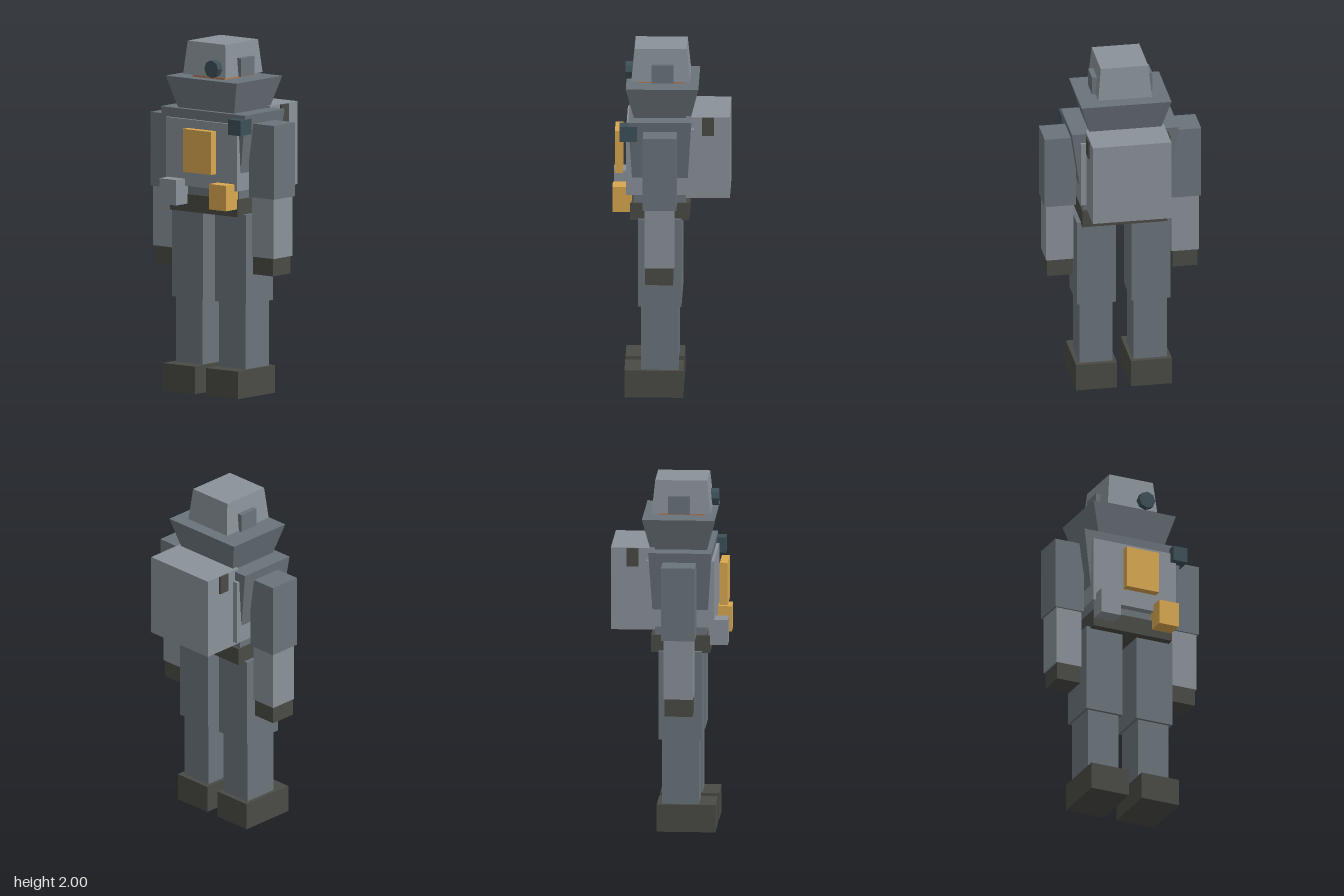
import * as THREE from 'three';

const COLORS = {
  light: 0x8a9299, mid: 0x6b747b, dark: 0x4a4a45,
  gold: 0xd9a850, teal: 0x3d5058, skin: 0xb07a55,
};
const mats = {};
for (const [key, color] of Object.entries(COLORS)) {
  mats[key] = new THREE.MeshStandardMaterial({ color, flatShading: true });
}

export function createModel() {
  const model = new THREE.Group();
  model.name = 'armouredFigure';

  function add(name, geometry, color) {
    const mesh = new THREE.Mesh(geometry, mats[color]);
    mesh.name = name;
    model.add(mesh);
    return mesh;
  }

  // Box given by its extents on each axis
  function box(name, color, [x0, x1], [y0, y1], [z0, z1]) {
    const mesh = add(name, new THREE.BoxGeometry(x1 - x0, y1 - y0, z1 - z0), color);
    mesh.position.set((x0 + x1) / 2, (y0 + y1) / 2, (z0 + z1) / 2);
    return mesh;
  }

  // The same box on both sides of the body
  function pair(name, color, [x0, x1], y, z) {
    box(name + 'Left', color, [x0, x1], y, z);
    box(name + 'Right', color, [-x1, -x0], y, z);
  }

  // Box whose bottom and top have their own half width and half depth
  function taper(name, color, [y0, y1], zMid, bottom, top) {
    const geo = new THREE.BoxGeometry(2, y1 - y0, 2);
    const p = geo.attributes.position;
    for (let i = 0; i < p.count; i++) {
      const [hx, hz] = p.getY(i) > 0 ? top : bottom;
      p.setX(i, p.getX(i) * hx);
      p.setZ(i, p.getZ(i) * hz);
    }
    geo.computeVertexNormals();
    add(name, geo, color).position.set(0, (y0 + y1) / 2, zMid);
  }

  // Legs
  pair('boot', 'dark', [0.04, 0.274], [0, 0.157], [-0.07, 0.262]);
  pair('shin', 'mid', [0.06, 0.251], [0.157, 0.53], [-0.042, 0.168]);
  pair('thigh', 'mid', [0.044, 0.268], [0.53, 1.04], [-0.06, 0.185]);

  // Waist and belt
  box('belt', 'dark', [-0.244, 0.244], [1.03, 1.13], [-0.104, 0.23]);
  box('waist', 'mid', [-0.235, 0.235], [1.13, 1.27], [-0.083, 0.208]);
  box('pouchRight', 'light', [-0.242, -0.12], [1.075, 1.22], [0.222, 0.33]);
  box('pouchLeft', 'gold', [0.118, 0.24], [1.075, 1.22], [0.222, 0.33]);

  // Torso
  taper('chest', 'mid', [1.26, 1.615], 0.062, [0.254, 0.156], [0.306, 0.178]);
  box('chestArmour', 'light', [-0.257, 0.257], [1.18, 1.56], [-0.13, 0.253]);
  box('chestPanel', 'gold', [-0.08, 0.122], [1.27, 1.515], [0.274, 0.319]);
  box('shoulderUnit', 'teal', [0.224, 0.312], [1.505, 1.593], [0.19, 0.29]);

  // Backpack with a dark fitting on each side
  box('backpack', 'light', [-0.225, 0.225], [1.155, 1.627], [-0.332, -0.085]);
  pair('packFitting', 'dark', [0.2, 0.235], [1.52, 1.625], [-0.242, -0.175]);

  // Arms
  pair('upperArm', 'mid', [0.268, 0.448], [1.14, 1.56], [-0.035, 0.155]);
  pair('forearm', 'light', [0.28, 0.437], [0.8, 1.14], [-0.022, 0.145]);
  pair('hand', 'dark', [0.286, 0.43], [0.7, 0.8], [-0.015, 0.142]);

  // Collar, neck and head
  taper('collar', 'mid', [1.615, 1.795], 0.05, [0.203, 0.16], [0.257, 0.205]);
  box('neck', 'skin', [-0.116, 0.116], [1.78, 1.82], [-0.068, 0.19]);
  taper('helmet', 'light', [1.812, 2], 0.06, [0.154, 0.166], [0.136, 0.147]);
  pair('earPiece', 'mid', [0.135, 0.173], [1.81, 1.915], [-0.012, 0.11]);

  // Eight-sided eye lens facing forward
  const lens = add('eyeLens', new THREE.CylinderGeometry(0.05, 0.05, 0.046, 8), 'teal');
  lens.rotation.x = Math.PI / 2;
  lens.position.set(0.077, 1.862, 0.237);

  return model;
}
